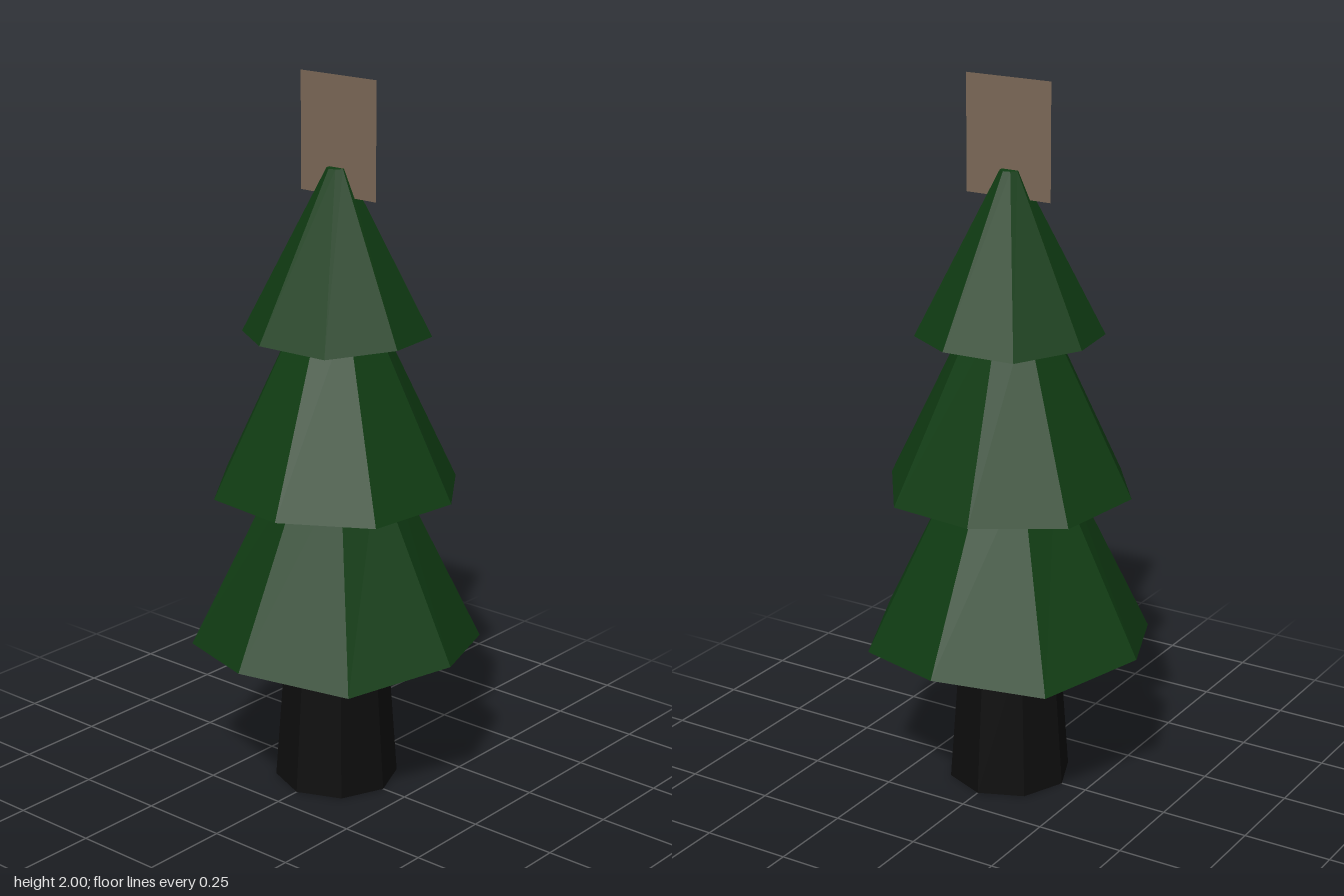
import * as THREE from 'three';

const flat = (name, color) => {
  const m = new THREE.MeshStandardMaterial({ color });
  m.name = name;
  return m;
};

// Eight-sided tier whose rim alternates between a high and a low corner
function tierGeometry(rTop, rRim, yTop, yHigh, yLow) {
  const g = new THREE.CylinderGeometry(rTop, rRim, 1, 8).toNonIndexed();
  const p = g.attributes.position;
  for (let i = 0; i < p.count; i++) {
    const x = p.getX(i), z = p.getZ(i);
    if (p.getY(i) > 0) {
      p.setY(i, yTop);
    } else if (Math.hypot(x, z) < 0.01) {
      p.setY(i, (yHigh + yLow) / 2);
    } else {
      const corner = Math.round(Math.atan2(x, z) / (Math.PI / 4));
      p.setY(i, corner % 2 === 0 ? yHigh : yLow);
    }
  }
  g.computeVertexNormals();
  return g;
}

export function createModel() {
  const tree = new THREE.Group();
  tree.name = 'tree';
  const needles = flat('needle green', 0x103c13);
  const bark = flat('dark bark', 0x0d0d0d);
  const card = flat('card brown', 0x7b6857);
  card.side = THREE.DoubleSide;

  const add = (name, geometry, material, turn = 0) => {
    const mesh = new THREE.Mesh(geometry, material);
    mesh.name = name;
    mesh.rotation.y = THREE.MathUtils.degToRad(turn);
    tree.add(mesh);
    return mesh;
  };

  // Tapered trunk
  const trunk = new THREE.CylinderGeometry(0.14, 0.173, 0.45, 8).toNonIndexed();
  trunk.computeVertexNormals();
  add('trunk', trunk, bark).position.y = 0.225;

  // Three stacked tiers, each turned a little
  add('lowerTier', tierGeometry(0.144, 0.405, 0.95, 0.44, 0.41), needles);
  add('middleTier', tierGeometry(0.1, 0.348, 1.38, 0.871, 0.863), needles, 12.8);
  add('upperTier', tierGeometry(0.027, 0.258, 1.755, 1.311, 1.301), needles, -11.5);

  // Flat square card standing at the tip
  add('topCard', new THREE.PlaneGeometry(0.26, 0.32), card).position.set(0.005, 1.84, 0);

  return tree;
}
